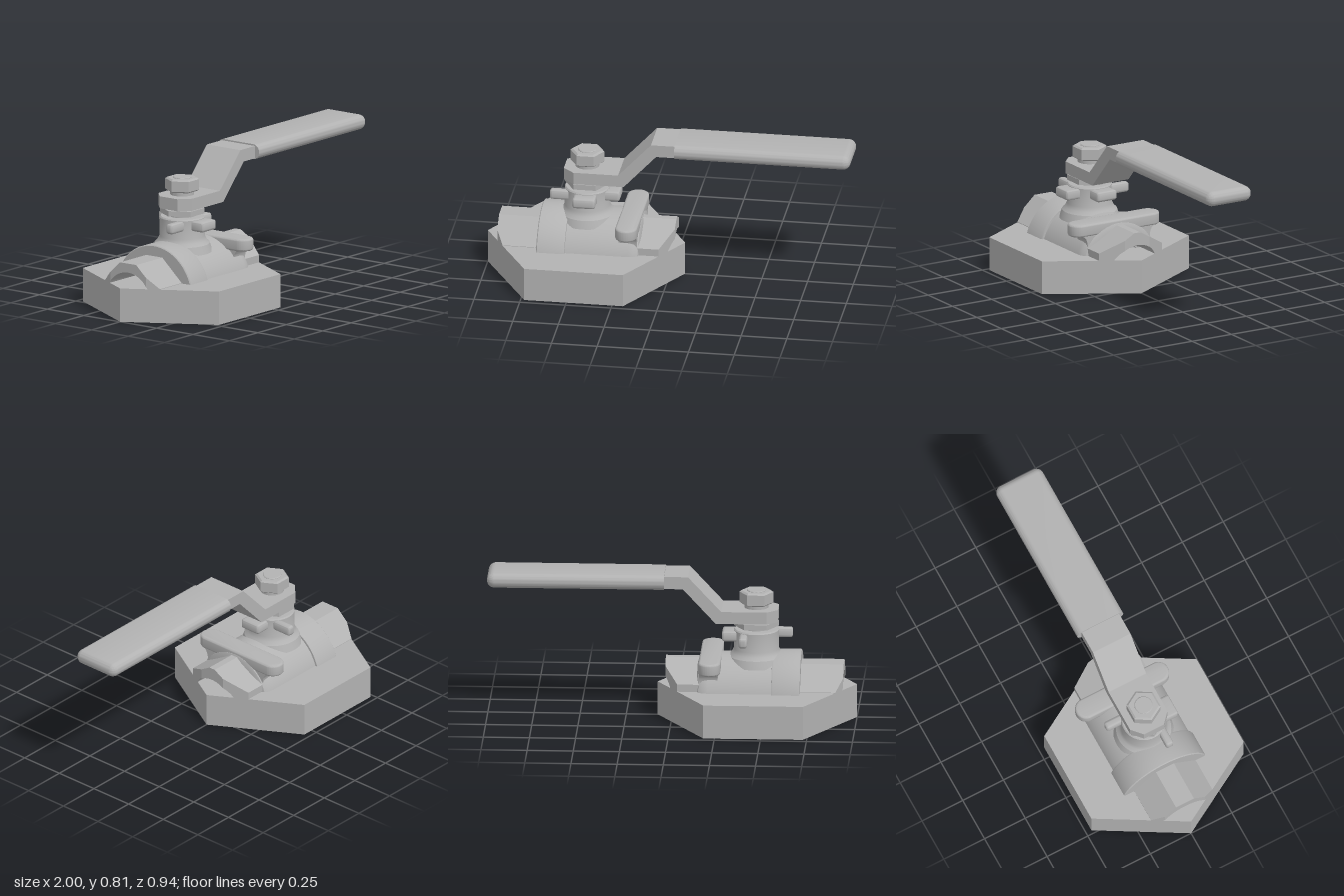
import * as THREE from 'three';
import { toCreasedNormals } from 'three/addons/utils/BufferGeometryUtils.js';
import { RoundedBoxGeometry } from 'three/addons/geometries/RoundedBoxGeometry.js';

const CX = -0.46;        // stem and base centre
const AXIS = 0.11;       // height of the bore axis
const BASE_TOP = 0.185;
const BASE_R = 0.54;
const BORE = 0.125, MOUTH = 0.15;

export function createModel() {
  const group = new THREE.Group();
  const metal = new THREE.MeshStandardMaterial({ color: 0xb2b2b2 });
  metal.name = 'greyMetal';

  const add = (name, geometry, crease = 0.45) => {
    const mesh = new THREE.Mesh(toCreasedNormals(geometry, crease), metal);
    mesh.name = name;
    group.add(mesh);
    return mesh;
  };
  const v2 = (pts) => pts.map(([x, y]) => new THREE.Vector2(x, y));
  const turned = (name, pts, segments = 48) =>
    add(name, new THREE.LatheGeometry(v2(pts), segments)
      .rotateY(segments === 6 ? Math.PI / 6 : 0).translate(CX + 0.005, 0, 0));

  // Hexagonal base
  add('hexBase', new THREE.CylinderGeometry(BASE_R, BASE_R, BASE_TOP, 6)
    .rotateY(Math.PI / 6).translate(CX, BASE_TOP / 2, 0));

  // Round body: half turned about the bore axis, with a collar and open bore
  const bodyProfile = v2([
    [BORE, -0.7], [0.255, -0.7], [0.26, -0.695], [0.26, -0.555], [0.256, -0.546], [0.245, -0.545],
    [0.245, -0.2], [0.241, -0.172], [0.228, -0.15], [0.205, -0.14], [BORE, -0.14], [BORE, -0.7]
  ]);
  add('valveBody', new THREE.LatheGeometry(bodyProfile, 48, Math.PI, Math.PI)
    .rotateZ(-Math.PI / 2).translate(0, AXIS, 0));

  // Pipe ends: faceted top, arched bore, end face trimmed to the base outline
  const arch = (z, r) => Math.max(BASE_TOP, AXIS + Math.sqrt(Math.max(0, r * r - z * z)));
  function pipeEnd(name, side, reach, innerX, width, corners, top) {
    const half = [...corners, (BASE_R - reach) * Math.sqrt(3), width];
    for (let i = 1; i <= 14; i++) {
      const a = (i / 14) * Math.acos((BASE_TOP - AXIS) / MOUTH);
      half.push(MOUTH * Math.sin(a), BORE * Math.sin(a) * 0.8);
    }
    half.sort((a, b) => a - b);
    const zs = [...half.map((z) => -z).reverse(), 0, ...half];
    const rows = zs.map((z) => ({ z, top: top(Math.abs(z)) }));
    rows.unshift({ z: -width, top: BASE_TOP });
    rows.push({ z: width, top: BASE_TOP });
    const pos = [];
    const quad = (a, b, c, d) => {
      const order = side > 0 ? [a, b, c, a, c, d] : [a, c, b, a, d, c];
      order.forEach((p) => pos.push(...p));
    };
    const section = ({ z, top: y }) => {
      const x = CX + side * Math.min(reach, BASE_R - Math.abs(z) / Math.sqrt(3));
      return {
        outTop: [x, y, z], outLow: [x, arch(z, MOUTH), z],
        inTop: [innerX, y, z], inLow: [innerX, arch(z, BORE), z]
      };
    };
    for (let i = 0; i + 1 < rows.length; i++) {
      const a = section(rows[i]), b = section(rows[i + 1]);
      quad(a.outLow, a.outTop, b.outTop, b.outLow);   // end face
      quad(a.inTop, b.inTop, b.outTop, a.outTop);     // outer faces
      quad(a.inLow, a.outLow, b.outLow, b.inLow);     // bore
    }
    const g = new THREE.BufferGeometry();
    g.setAttribute('position', new THREE.Float32BufferAttribute(pos, 3));
    g.computeVertexNormals();
    add(name, g);
  }
  pipeEnd('rightPipeEnd', -1, 0.47, -0.66, 0.188, [0.055],
    (z) => Math.min(0.31, 0.31 - (z - 0.055) * 0.92));
  pipeEnd('leftPipeEnd', 1, 0.495, -0.2, 0.2, [0.019],
    (z) => Math.min(0.33, AXIS + (0.2 - 0.5 * z) / 0.866));

  // Cross wing on the body, with a curved web beneath
  const wing = new THREE.Shape();
  wing.absarc(0, 0.222, 0.047, 0, Math.PI);
  wing.absarc(0, -0.222, 0.047, Math.PI, Math.PI * 2);
  add('wing', new THREE.ExtrudeGeometry(wing, {
    depth: 0.044, bevelThickness: 0.012, bevelSize: 0.012, bevelSegments: 4, curveSegments: 16
  }).rotateX(-Math.PI / 2).translate(-0.21, 0.302, 0), 0.6);

  const web = new THREE.Shape();
  web.moveTo(-0.2, 0.17);
  web.quadraticCurveTo(-0.185, 0.29, -0.235, 0.295);
  web.lineTo(0.235, 0.295);
  web.quadraticCurveTo(0.185, 0.29, 0.2, 0.17);
  add('wingWeb', new THREE.ExtrudeGeometry(web, { depth: 0.1, bevelEnabled: false })
    .rotateY(Math.PI / 2).translate(-0.255, 0, 0));

  // Neck with flared foot
  turned('neck', [[0.165, 0.3], [0.15, 0.345], [0.133, 0.362], [0.123, 0.385],
    [0.122, 0.487], [0.116, 0.494], [0, 0.494]]);

  // Stop lugs around the neck: [x, z, width x, width z]
  const lugs = [
    [-0.59, 0.06, 0.12, 0.045], [-0.33, 0, 0.12, 0.125],
    [-0.45, 0.125, 0.125, 0.12], [-0.39, -0.14, 0.045, 0.12]
  ];
  lugs.forEach(([x, z, w, d]) =>
    add('neckLug', new RoundedBoxGeometry(w, 0.055, d, 3, 0.014).translate(x, 0.457, z), 0.6));

  // Stem, lock plate, washer and nut
  turned('stem', [[0.073, 0.48], [0.073, 0.56]]);
  turned('lockPlate', [[0, 0.508], [0.122, 0.508], [0.122, 0.538], [0, 0.538]], 6);
  turned('washer', [[0.065, 0.6], [0.065, 0.64], [0, 0.64]]);
  turned('leverNut', [[0, 0.632], [0.082, 0.632], [0.093, 0.64], [0.093, 0.697],
    [0.082, 0.705], [0, 0.705]], 6);
  turned('stemTip', [[0.05, 0.69], [0.05, 0.707], [0.046, 0.711], [0, 0.711]]);

  // Lever: chamfered hub plate and a cranked arm
  const hub = new THREE.Shape(v2([[-0.575, -0.06], [-0.515, -0.115], [-0.3, -0.115],
    [-0.3, 0.115], [-0.515, 0.115], [-0.575, 0.06]]));
  add('leverHub', new THREE.ExtrudeGeometry(hub, { depth: 0.067, bevelEnabled: false })
    .rotateX(-Math.PI / 2).translate(0, 0.545, 0));
  const arm = new THREE.Shape(v2([[-0.3, 0.545], [-0.24, 0.545], [-0.062, 0.737], [0.06, 0.737],
    [0.06, 0.805], [-0.09, 0.805], [-0.27, 0.612], [-0.3, 0.612]]));
  add('leverArm', new THREE.ExtrudeGeometry(arm, { depth: 0.23, bevelEnabled: false })
    .translate(0, 0, -0.115));

  // Grip: rounded sleeve, cut square where it meets the arm
  const start = 0.04, r = 0.0405;
  const grip = new RoundedBoxGeometry(1 - start + r, 0.083, 0.282, 6, r)
    .translate((1 + start - r) / 2, 0.7715, 0);
  const p = grip.attributes.position;
  for (let i = 0; i < p.count; i++) p.setX(i, Math.max(start, p.getX(i)));
  add('grip', grip, 0.6);

  return group;
}
